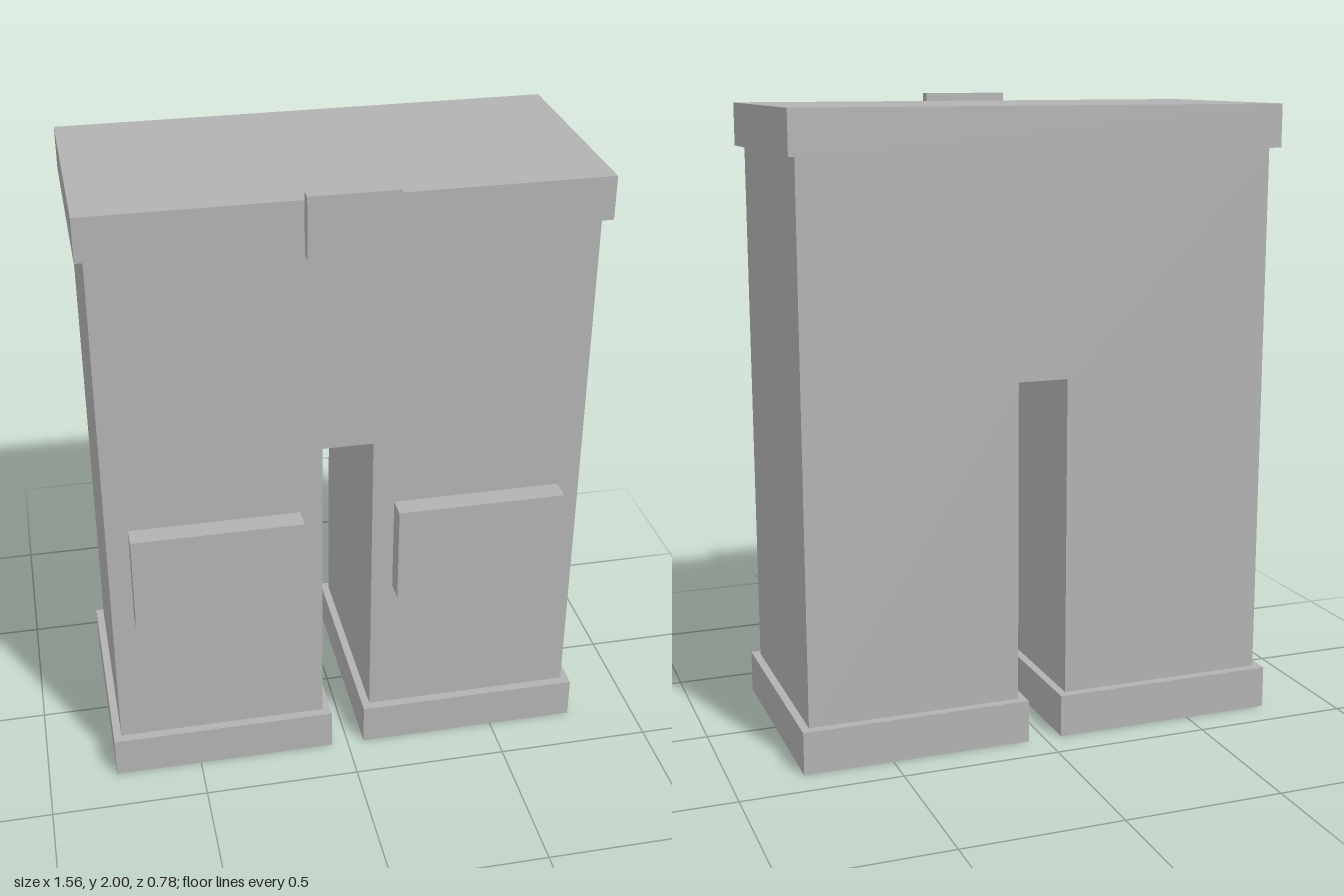
import * as THREE from 'three';

export function createModel() {
  const model = new THREE.Group();
  model.name = 'trousers';
  const grey = new THREE.MeshStandardMaterial({ color: 0xb2b2b2 });
  grey.name = 'plain grey';

  // Box given by its limits on each axis
  function block(name, [x0, x1], [y0, y1], [z0, z1], parent = model) {
    const mesh = new THREE.Mesh(new THREE.BoxGeometry(x1 - x0, y1 - y0, z1 - z0), grey);
    mesh.name = name;
    mesh.position.set((x0 + x1) / 2, (y0 + y1) / 2, (z0 + z1) / 2);
    parent.add(mesh);
    return mesh;
  }

  // Both legs and the seat in one piece, with the gap between the legs
  const outline = [
    [-0.755, 0.135], [-0.08, 0.135], [-0.08, 1.15], [0.08, 1.15],
    [0.08, 0.135], [0.755, 0.135], [0.755, 1.84], [-0.755, 1.84],
  ].map(([x, y]) => new THREE.Vector2(x, y));
  const body = new THREE.Mesh(
    new THREE.ExtrudeGeometry(new THREE.Shape(outline), { depth: 0.68, bevelEnabled: false }),
    grey,
  );
  body.name = 'legsAndSeat';
  body.position.z = -0.36;
  model.add(body);

  // Waistband and buckle
  block('waistband', [-0.78, 0.78], [1.84, 1.975], [-0.39, 0.35]);
  block('buckle', [-0.135, 0.135], [1.81, 2], [0.35, 0.39]);

  // Cuff and knee patch on each leg
  for (const [side, s] of [['left', 1], ['right', -1]]) {
    const span = (a, b) => (s > 0 ? [a, b] : [-b, -a]);
    block(side + 'Cuff', span(0.055, 0.78), [0, 0.135], [-0.39, 0.35]);
    block(side + 'KneePatch', span(0.15, 0.685), [0.61, 0.93], [0.32, 0.39]);
  }

  return model;
}
